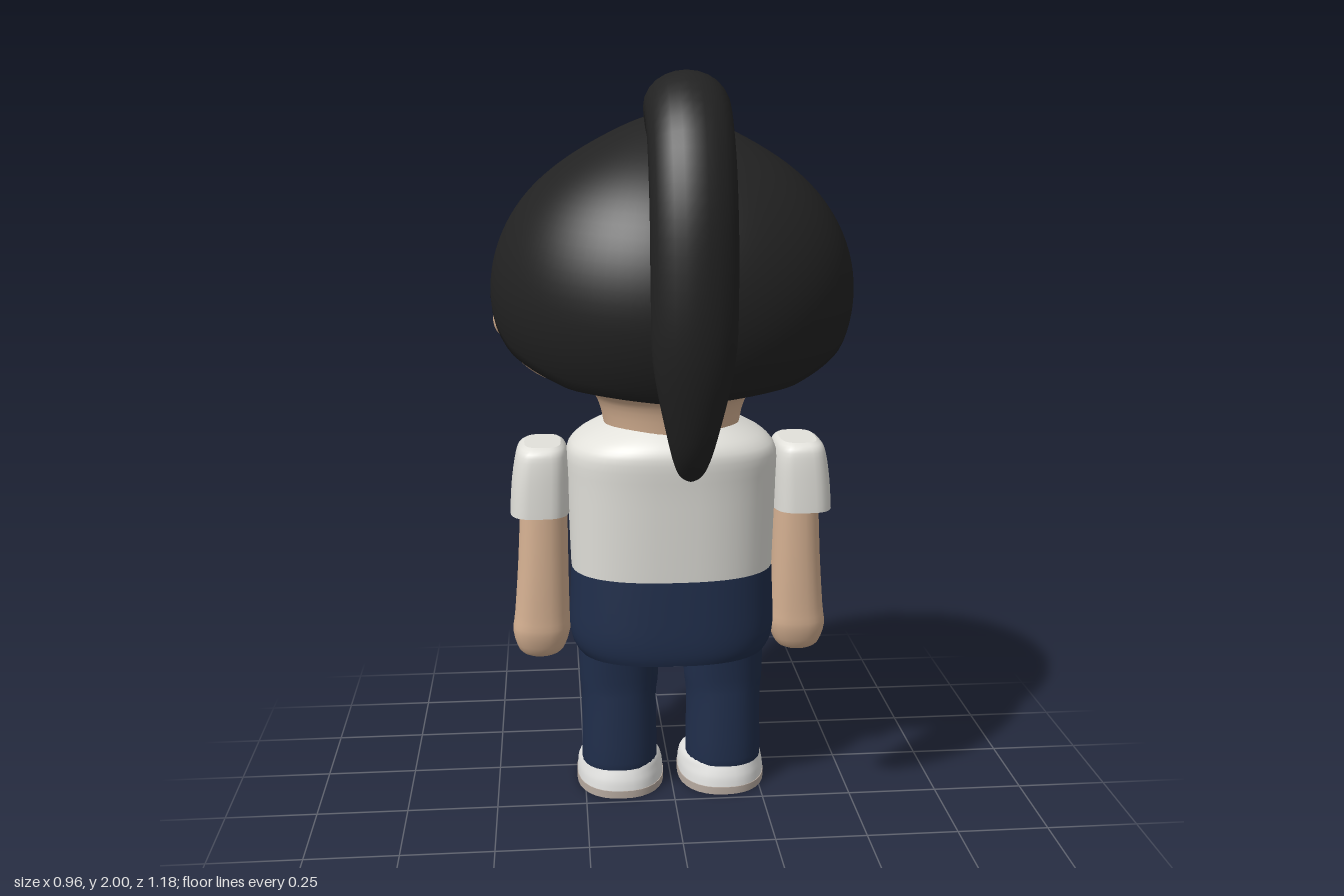
import * as THREE from 'three';

const mat = (name, color, side = THREE.FrontSide) => {
  const m = new THREE.MeshStandardMaterial({ color, side });
  m.name = name;
  return m;
};

// Linear lookup in a list of [key, value] pairs
function lookup(pairs, k) {
  for (let i = 1; i < pairs.length; i++) {
    const [a, va] = pairs[i - 1], [b, vb] = pairs[i];
    if (k <= b) return va + (vb - va) * Math.max(0, (k - a) / (b - a));
  }
  return pairs[pairs.length - 1][1];
}

// Smoothly subdivide rows of numbers
function smoothRows(rows, n) {
  const out = [];
  const at = (i) => rows[Math.min(rows.length - 1, Math.max(0, i))];
  for (let i = 0; i < rows.length - 1; i++) {
    for (let k = 0; k < n; k++) {
      const t = k / n;
      out.push(at(i).map((b, c) => {
        const a = at(i - 1)[c], d = at(i + 1)[c], e = at(i + 2)[c];
        return b + 0.5 * t * (d - a + t * (2 * a - 5 * b + 4 * d - e + t * (3 * (b - d) + e - a)));
      }));
    }
  }
  out.push(rows[rows.length - 1]);
  return out;
}

// Skin a stack of closed rings, optionally with flat end caps
function loft(rings, caps = true) {
  const n = rings[0].length, pos = [], idx = [];
  rings.forEach((r) => r.forEach((p) => pos.push(...p)));
  for (let i = 0; i < rings.length - 1; i++) {
    for (let j = 0; j < n; j++) {
      const a = i * n + j, b = i * n + (j + 1) % n;
      idx.push(a, a + n, b, b, a + n, b + n);
    }
  }
  if (caps) [rings[0], rings[rings.length - 1]].forEach((r, top) => {
    const s = pos.length / 3;
    r.forEach((p) => pos.push(...p));
    pos.push(...[0, 1, 2].map((c) => r.reduce((sum, p) => sum + p[c], 0) / n));
    for (let j = 0; j < n; j++) {
      const k = (j + 1) % n;
      idx.push(s + n, s + (top ? k : j), s + (top ? j : k));
    }
  });
  const g = new THREE.BufferGeometry();
  g.setAttribute('position', new THREE.Float32BufferAttribute(pos, 3));
  g.setIndex(idx);
  g.computeVertexNormals();
  return g;
}

// Horizontal rounded cross-sections: rows of [y, cx, cz, rx, rz]
function body(rows, power = 2, seg = 32) {
  const pw = (v) => Math.sign(v) * Math.abs(v) ** (2 / power);
  return loft(rows.map(([y, cx, cz, rx, rz]) => Array.from({ length: seg }, (_, j) => {
    const a = j / seg * Math.PI * 2;
    return [cx + rx * pw(Math.cos(a)), y, cz + rz * pw(Math.sin(a))];
  })));
}

// Head radius factor by height, and the hairline height by angle from the face
const HEAD = [[1.07, 0.4], [1.13, 0.43], [1.17, 0.49], [1.2, 0.66], [1.23, 0.82], [1.28, 0.94], [1.34, 1],
  [1.42, 1], [1.5, 0.96], [1.6, 0.87], [1.7, 0.69], [1.8, 0.38], [1.83, 0.01]];
const HAIRLINE = [[0, 1.6], [55, 1.61], [65, 1.605], [76, 1.55], [88, 1.47], [97, 1.37], [109, 1.3], [138, 1.23], [180, 1.2]];
const faceZ = (x, y) => -0.125 - 0.445 * Math.sqrt(Math.max(0, lookup(HEAD, y) ** 2 - (x / 0.46) ** 2));

function hairGeometry() {
  const seg = 96, steps = 28, rings = [];
  for (let i = -1; i <= steps; i++) {
    const t = Math.max(0, i) / steps, lip = i < 0 ? 0.95 : 1;
    rings.push(Array.from({ length: seg }, (_, j) => {
      const a = (j + 0.5) / seg * Math.PI * 2, back = Math.sin(a) > 0;
      const line = lookup(HAIRLINE, Math.acos(-Math.sin(a)) * 180 / Math.PI);
      const e0 = Math.asin((line - 1.44) / 0.42), e = e0 + (Math.PI / 2 - e0) * t;
      const c = Math.cos(e) * lip;
      const crown = back ? 0.04 * Math.exp(-((c / 0.35) ** 2)) : 0;
      return [0.48 * c * Math.cos(a), 1.44 + 0.42 * Math.sin(e) + crown, -0.085 + (back ? 0.445 : 0.475) * c * Math.sin(a)];
    }));
  }
  return loft(rings, false);
}

function ponytailGeometry() {
  // z, y, half width, half depth
  const rows = smoothRows([[0.12, 1.75, 0.06, 0.05], [0.2, 1.87, 0.09, 0.07], [0.3, 1.92, 0.1, 0.08],
    [0.42, 1.85, 0.1, 0.08], [0.495, 1.7, 0.1, 0.075], [0.52, 1.52, 0.1, 0.07], [0.51, 1.35, 0.095, 0.066],
    [0.475, 1.17, 0.06, 0.048], [0.442, 1.08, 0.035, 0.026], [0.432, 1.055, 0.012, 0.01]], 5);
  return loft(rows.map(([z, y, w, d], i) => {
    const p = rows[Math.max(0, i - 1)], q = rows[Math.min(rows.length - 1, i + 1)];
    const l = Math.hypot(q[0] - p[0], q[1] - p[1]), tz = (q[0] - p[0]) / l, ty = (q[1] - p[1]) / l;
    return Array.from({ length: 24 }, (_, j) => {
      const a = j / 24 * Math.PI * 2, s = d * Math.sin(a);
      return [w * Math.cos(a), y - tz * s, z + ty * s];
    });
  }));
}

export function createModel() {
  const skin = mat('skin', 0xd8b394), black = mat('hair black', 0x222222, THREE.DoubleSide);
  const cloth = mat('shirt white', 0xe2e1db), navy = mat('navy', 0x202e4b), pink = mat('pink', 0xcf6f78);
  const white = mat('shoe white', 0xeeeeec), soleMat = mat('sole', 0xb9aca2);
  const model = new THREE.Group();
  const add = (name, geo, m, p = [0, 0, 0]) => {
    const mesh = new THREE.Mesh(geo, m);
    mesh.name = name;
    mesh.position.set(...p);
    model.add(mesh);
    return mesh;
  };
  const blob = (name, m, p, s) => {
    const mesh = add(name, new THREE.SphereGeometry(1, 20, 14), m, p);
    mesh.scale.set(...s);
    return mesh;
  };
  // Thin line laid on the face, from [x, y] points
  const faceLine = (name, pts, r, m) => add(name, new THREE.TubeGeometry(new THREE.CatmullRomCurve3(
    pts.map(([x, y]) => new THREE.Vector3(x, y, faceZ(x, y) - 0.006))), 20, r, 6), m);

  // Head and hair
  add('head', body(smoothRows(HEAD.map(([y, s]) => [y, 0, -0.125, 0.46 * s, 0.445 * s]), 3), 2, 48), skin);
  add('hair', hairGeometry(), black);
  add('ponytail', ponytailGeometry(), black);
  const tie = add('hairTie', new THREE.TorusGeometry(0.062, 0.018, 10, 28), navy, [0, 1.79, 0.145]);
  tie.rotation.x = Math.PI / 2 + 0.55;
  blob('fringeTip', black, [0, 1.59, faceZ(0, 1.59) - 0.006], [0.025, 0.025, 0.012]);
  blob('nose', skin, [0, 1.33, -0.572], [0.016, 0.016, 0.016]);
  faceLine('mouth', [[-0.02, 1.285], [0, 1.278], [0.02, 1.285]], 0.007, pink);

  // Shirt and the navy lower garment
  add('shirt', body(smoothRows([[0.67, 0, -0.13, 0.28, 0.2], [0.8, 0, -0.133, 0.284, 0.214], [0.92, 0, -0.137, 0.288, 0.228],
    [1.0, 0, -0.138, 0.288, 0.237], [1.035, 0, -0.138, 0.265, 0.23], [1.06, 0, -0.138, 0.225, 0.21],
    [1.083, 0, -0.138, 0.175, 0.18]], 3), 2.5, 48), cloth);
  add('tunic', body(smoothRows([[0.43, 0, -0.135, 0.262, 0.2], [0.455, 0, -0.135, 0.278, 0.207], [0.5, 0, -0.133, 0.287, 0.208],
    [0.58, 0, -0.13, 0.284, 0.203], [0.675, 0, -0.13, 0.28, 0.2]], 3), 2.5, 48), navy);

  for (const s of [1, -1]) {
    const side = s > 0 ? 'left' : 'right';
    // Face details
    const arc = Array.from({ length: 9 }, (_, i) => {
      const a = (-105 + i * 26) * Math.PI / 180;
      return [s * (0.135 + 0.055 * Math.cos(a)), 1.39 + 0.062 * Math.sin(a)];
    });
    faceLine(side + 'Eye', arc, 0.007, black);
    faceLine(side + 'Lash', [[s * 0.175, 1.43], [s * 0.205, 1.445]], 0.006, black);
    faceLine(side + 'Brow', [[s * 0.13, 1.52], [s * 0.16, 1.527], [s * 0.19, 1.518]], 0.009, black);
    const cheek = blob(side + 'Cheek', pink, [s * 0.333, 1.335, -0.445], [0.026, 0.018, 0.009]);
    cheek.rotation.y = s * -0.75;
    blob(side + 'Ear', skin, [s * 0.455, 1.37, -0.112], [0.022, 0.047, 0.04]);
    const burn = blob(side + 'Sideburn', black, [s * 0.452, 1.39, -0.21], [0.02, 0.086, 0.017]);
    burn.rotation.x = -0.25;

    // Arm and sleeve
    add(side + 'Arm', body(smoothRows([[0.388, s * 0.37, -0.178, 0.035, 0.03], [0.405, s * 0.369, -0.178, 0.062, 0.05],
      [0.46, s * 0.367, -0.178, 0.081, 0.07], [0.52, s * 0.364, -0.175, 0.077, 0.07], [0.68, s * 0.358, -0.17, 0.07, 0.073],
      [0.9, s * 0.352, -0.163, 0.064, 0.074]], 3), 2.3, 24), skin);
    add(side + 'Sleeve', body(smoothRows([[0.828, s * 0.364, -0.15, 0.082, 0.12], [0.9, s * 0.361, -0.15, 0.08, 0.12],
      [0.965, s * 0.357, -0.148, 0.075, 0.116], [1.005, s * 0.355, -0.146, 0.066, 0.107],
      [1.02, s * 0.353, -0.145, 0.05, 0.085]], 3), 3.2, 32), cloth);

    // Leg, shoe and sole
    add(side + 'Leg', body(smoothRows([[0.08, s * 0.15, -0.14, 0.105, 0.105], [0.1, s * 0.15, -0.14, 0.108, 0.11],
      [0.27, s * 0.15, -0.142, 0.106, 0.108], [0.34, s * 0.149, -0.14, 0.112, 0.106],
      [0.48, s * 0.148, -0.13, 0.112, 0.112]], 3), 2.2, 28), navy);
    add(side + 'Shoe', body(smoothRows([[0.02, s * 0.147, -0.182, 0.124, 0.161], [0.045, s * 0.147, -0.181, 0.123, 0.158],
      [0.065, s * 0.147, -0.175, 0.119, 0.147], [0.08, s * 0.147, -0.155, 0.112, 0.122],
      [0.092, s * 0.148, -0.142, 0.104, 0.106]], 3), 2.3, 32), white);
    add(side + 'Sole', body([[0, s * 0.147, -0.182, 0.126, 0.162], [0.022, s * 0.147, -0.182, 0.126, 0.163]], 2.3, 32), soleMat);
  }
  return model;
}
